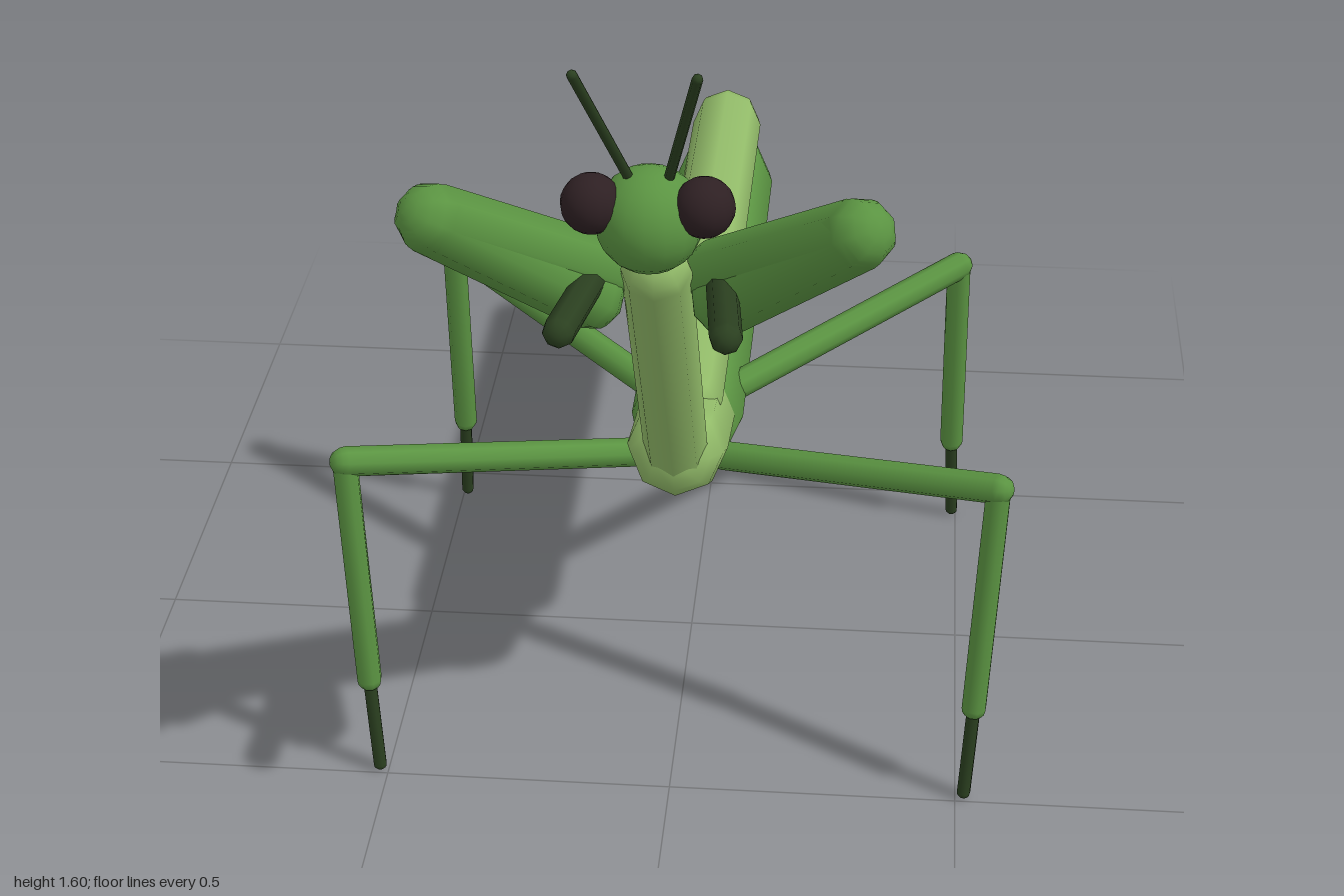
import * as THREE from 'three';

const mat = (name, color) => {
  const m = new THREE.MeshStandardMaterial({ color });
  m.name = name;
  return m;
};

export function createModel() {
  const light = mat('light green', 0x92bb69);
  const green = mat('leaf green', 0x5b9442);
  const dark = mat('dark green', 0x2b4020);
  const eyeMat = mat('dark brown', 0x2e2023);

  const model = new THREE.Group();
  model.name = 'mantis';
  const up = new THREE.Vector3(0, 1, 0);

  // Rounded limb between two joint centres
  const limb = (parent, name, material, radius, from, to) => {
    const a = new THREE.Vector3(...from);
    const d = new THREE.Vector3(...to).sub(a);
    const mesh = new THREE.Mesh(new THREE.CapsuleGeometry(radius, d.length(), 4, 8), material);
    mesh.position.copy(a).addScaledVector(d, 0.5);
    mesh.quaternion.setFromUnitVectors(up, d.normalize());
    mesh.name = name;
    parent.add(mesh);
  };
  const ball = (parent, name, material, radius, x, y, z) => {
    const mesh = new THREE.Mesh(new THREE.SphereGeometry(radius, 16, 12), material);
    mesh.position.set(x, y, z);
    mesh.name = name;
    parent.add(mesh);
  };

  // Body
  limb(model, 'abdomen', green, 0.1, [0, 0.53, 0.1], [0, 0.532, -0.845]);
  limb(model, 'foldedWings', light, 0.07, [0, 0.62, 0.2], [0, 0.62, -0.93]);
  limb(model, 'thorax', light, 0.087, [0, 0.55, 0.13], [0, 0.593, 0.31]);
  limb(model, 'neck', light, 0.055, [0, 0.59, 0.335], [0, 1.135, 0.685]);
  ball(model, 'head', green, 0.082, 0, 1.277, 0.79);

  for (const s of [1, -1]) {
    const side = s > 0 ? 'left' : 'right';

    // Eye and antenna
    ball(model, side + 'Eye', eyeMat, 0.046, s * 0.083, 1.312, 0.815);
    limb(model, side + 'Antenna', dark, 0.008, [s * 0.028, 1.34, 0.79], [s * 0.086, 1.595, 0.988]);

    // Folded grasping arm
    const arm = new THREE.Group();
    arm.name = side + 'GraspingArm';
    const elbow = [s * 0.31, 1.305, 0.868];
    limb(arm, 'upperArm', green, 0.054, [s * 0.09, 1.11, 0.64], elbow);
    limb(arm, 'foreArm', green, 0.054, elbow, [s * 0.105, 1.078, 0.67]);
    limb(arm, 'claw', dark, 0.025, [s * 0.1, 1.115, 0.68], [s * 0.122, 1.15, 0.912]);
    model.add(arm);

    // Walking legs: hip, knee, ankle, toe
    const legs = {
      FrontLeg: [[0.07, 0.53, 0.235], [0.547, 0.635, 0.474], [0.525, 0.2, 0.487], [0.515, 0.018, 0.488]],
      BackLeg: [[0.07, 0.535, 0.015], [0.482, 0.627, -0.323], [0.485, 0.2, -0.39], [0.492, 0.018, -0.424]],
    };
    for (const [name, joints] of Object.entries(legs)) {
      const [hip, knee, ankle, toe] = joints.map(([x, y, z]) => [s * x, y, z]);
      const leg = new THREE.Group();
      leg.name = side + name;
      limb(leg, 'thigh', green, 0.026, hip, knee);
      limb(leg, 'shin', green, 0.022, knee, ankle);
      limb(leg, 'foot', dark, 0.012, ankle, toe);
      model.add(leg);
    }
  }
  return model;
}
